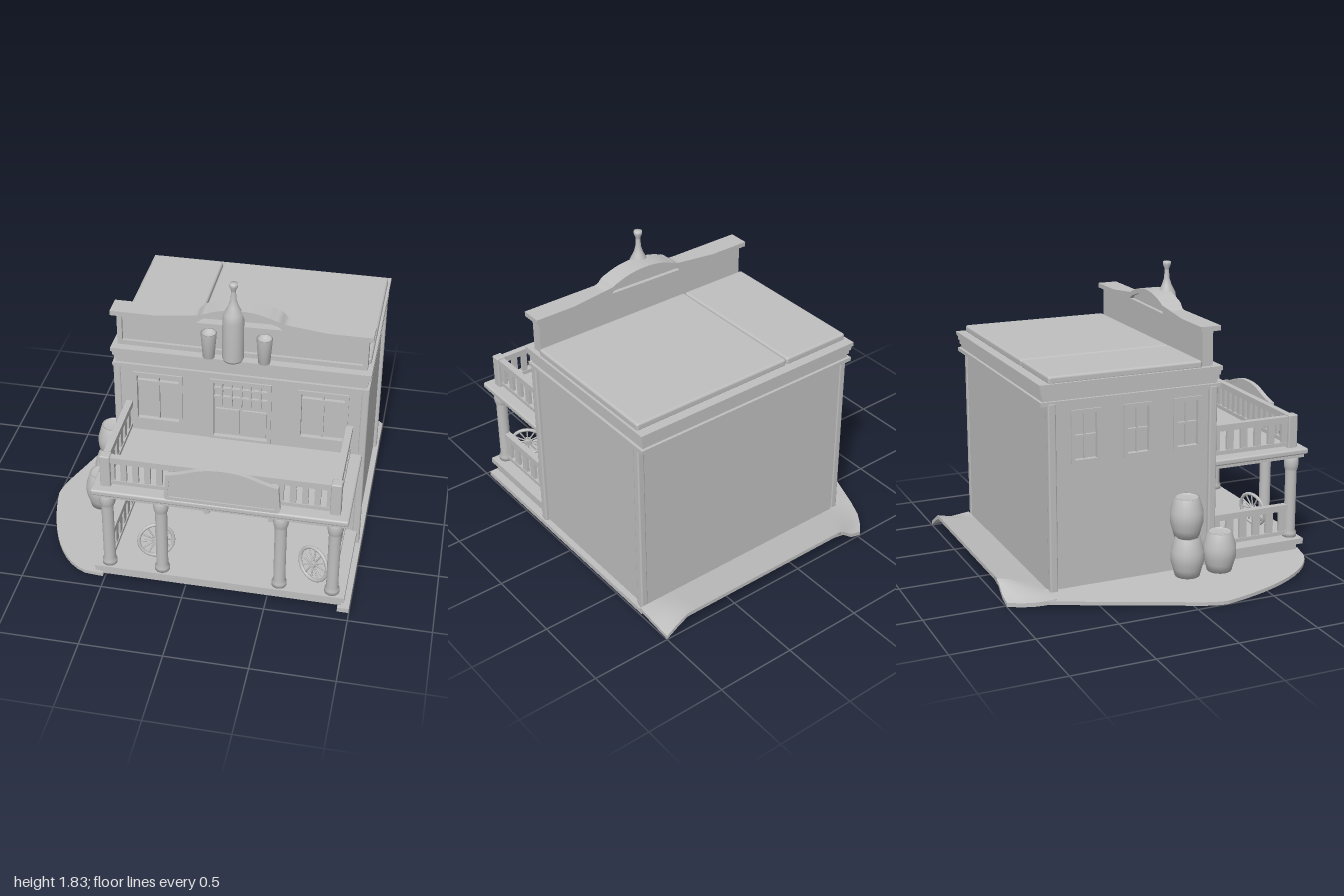
import * as THREE from 'three';
import { RoundedBoxGeometry } from 'three/addons/geometries/RoundedBoxGeometry.js';

export function createModel() {
  const root = new THREE.Group();
  root.name = 'saloon';
  const grey = new THREE.MeshStandardMaterial({ color: 0xbfbfbf });
  grey.name = 'plainGrey';

  const add = (name, geo, x = 0, y = 0, z = 0, parent = root) => {
    const m = new THREE.Mesh(geo, grey);
    m.name = name;
    m.position.set(x, y, z);
    parent.add(m);
    return m;
  };
  // box given by its limits on each axis
  const box = (name, x0, x1, y0, y1, z0, z1, parent = root) =>
    add(name, new THREE.BoxGeometry(x1 - x0, y1 - y0, z1 - z0), (x0 + x1) / 2, (y0 + y1) / 2, (z0 + z1) / 2, parent);
  const group = (name, x = 0, y = 0, z = 0) => {
    const g = new THREE.Group();
    g.name = name;
    g.position.set(x, y, z);
    root.add(g);
    return g;
  };
  const rectPath = (x0, x1, y0, y1, Type = THREE.Path) => {
    const p = new Type();
    p.moveTo(x0, y0).lineTo(x1, y0).lineTo(x1, y1).lineTo(x0, y1).closePath();
    return p;
  };
  const extrude = (shape, depth, bevel = 0) => new THREE.ExtrudeGeometry(shape, {
    depth, curveSegments: 12, bevelEnabled: bevel > 0, bevelSize: bevel, bevelThickness: bevel, bevelSegments: 2 });
  const lathe = (pts, n = 20) => new THREE.LatheGeometry(pts.map(p => new THREE.Vector2(...p)), n);

  // ground: curved yard on the left, sloping down to its rim
  const yard = new THREE.Shape();
  yard.moveTo(-0.5, -0.95);
  yard.lineTo(-0.62, -0.93);
  yard.bezierCurveTo(-0.85, -0.83, -0.96, -0.45, -1, -0.2);
  yard.bezierCurveTo(-1, -0.1, -0.94, 0.02, -0.9, 0.13);
  yard.lineTo(-0.65, 0.79);
  yard.lineTo(-0.5, 0.79);
  const yardGeo = extrude(yard, 0.022).rotateX(-Math.PI / 2);
  const yp = yardGeo.attributes.position;
  for (let i = 0; i < yp.count; i++) yp.setY(i, yp.getY(i) + 0.04 + 0.08 * (yp.getX(i) + 0.5));
  yardGeo.computeVertexNormals();
  add('yard', yardGeo);

  // ground: strip behind the house, lifted along the middle of its rim
  const stripGeo = new THREE.BoxGeometry(1.65, 0.025, 0.26, 22, 1, 4).translate(0.175, 0.045, -0.87);
  const sp = stripGeo.attributes.position;
  for (let i = 0; i < sp.count; i++) {
    const x = sp.getX(i), z = sp.getZ(i), t = (-0.74 - z) / 0.26;
    const side = Math.min(1, Math.max(0, Math.min(x + 0.6, 0.99 - x) / 0.12));
    sp.setY(i, sp.getY(i) + t * (-0.03 + 0.09 * side));
    if (x < -0.4) sp.setX(i, x + 0.13 * t * t);
  }
  stripGeo.computeVertexNormals();
  add('rearGround', stripGeo);
  box('rightGround', 0.93, 1, 0.015, 0.045, -0.75, 0.95);

  // house walls, with openings in the front and left
  const front = rectPath(-0.52, 0.965, 0.05, 1.2, THREE.Shape);
  const frontWindows = [[-0.42, -0.14, 0.8, 1.13], [0.58, 0.86, 0.8, 1.13], [0.05, 0.4, 0.73, 1.14],
    [-0.38, -0.17, 0.31, 0.62], [0.64, 0.85, 0.31, 0.62]];
  frontWindows.forEach(w => front.holes.push(rectPath(...w)));
  front.holes.push(rectPath(0.03, 0.42, 0.13, 0.62));
  add('frontWall', extrude(front, 0.04), 0, 0, 0.29);

  const left = rectPath(-0.73, 0.32, 0.05, 1.2, THREE.Shape);
  const sideWindows = [-0.5, -0.17, 0.15].map(z => [z - 0.08, z + 0.08, 0.83, 1.13]);
  sideWindows.forEach(w => left.holes.push(rectPath(...w)));
  add('leftWall', extrude(left, 0.035).rotateY(-Math.PI / 2), -0.49);
  box('rightWall', 0.93, 0.965, 0.05, 1.2, -0.73, 0.32);
  box('backWall', -0.52, 0.965, 0.05, 1.2, -0.735, -0.7);
  for (const x of [-0.53, 0.965]) for (const z of [0.312, -0.715])
    add('cornerPost', new RoundedBoxGeometry(0.045, 1.16, 0.05, 2, 0.01), x, 0.62, z);

  // framed window facing +z in its own group
  const addWindow = (name, [x0, x1, y0, y1], cols, rows, rowTop = 1) => {
    const g = group(name);
    const f = rectPath(x0 - 0.012, x1 + 0.012, y0 - 0.012, y1 + 0.012, THREE.Shape);
    f.holes.push(rectPath(x0 + 0.012, x1 - 0.012, y0 + 0.012, y1 - 0.012));
    add('frame', extrude(f, 0.03), 0, 0, -0.02, g);
    box('pane', x0, x1, y0, y1, -0.034, -0.028, g);
    const yb = y1 - (y1 - y0) * rowTop;
    for (let i = 1; i < cols; i++) {
      const x = x0 + (x1 - x0) * i / cols;
      box('mullion', x - 0.006, x + 0.006, yb, y1, -0.03, -0.01, g);
    }
    for (let j = 1; j < rows; j++) {
      const y = yb + (y1 - yb) * j / rows;
      box('crossBar', x0, x1, y - 0.006, y + 0.006, -0.03, -0.01, g);
    }
    return g;
  };
  frontWindows.forEach((w, i) => {
    const [cols, rows, part] = [[2, 1, 1], [2, 1, 1], [6, 3, 0.45], [5, 4, 1], [5, 4, 1]][i];
    const g = addWindow(i === 2 ? 'balconyDoor' : 'frontWindow', w, cols, rows, part);
    g.position.z = 0.33;
    if (i < 2) box('transom', w[0], w[1], 1.06, 1.08, -0.03, -0.005, g);
    if (i === 2) for (const x of [0.07, 0.235]) box('doorPanel', x, x + 0.145, 0.75, 0.93, -0.03, -0.015, g);
  });
  sideWindows.forEach(w => {
    const g = addWindow('sideWindow', w, 2, 2);
    g.rotation.y = -Math.PI / 2;
    g.position.x = -0.525;
  });

  // entrance: casing, header and a pair of swing doors
  const casing = rectPath(0, 0.45, 0.13, 0.65, THREE.Shape);
  casing.holes.push(rectPath(0.035, 0.415, 0.131, 0.615));
  add('doorCasing', extrude(casing, 0.03), 0, 0, 0.325);
  box('doorHeader', -0.015, 0.465, 0.625, 0.665, 0.33, 0.375);
  box('doorBack', 0.03, 0.42, 0.13, 0.62, 0.295, 0.303);
  for (const s of [-1, 1]) {
    const leaf = new THREE.Shape();
    leaf.moveTo(0.006, 0.23).lineTo(0.006, 0.45);
    leaf.bezierCurveTo(0.07, 0.45, 0.1, 0.5, 0.18, 0.5);
    leaf.lineTo(0.18, 0.21).bezierCurveTo(0.12, 0.2, 0.08, 0.23, 0.006, 0.23);
    const g = group('swingDoor', 0.225, 0, 0.335);
    g.rotation.y = s < 0 ? Math.PI : 0;
    add('leaf', extrude(leaf, 0.024), 0, 0, -0.012, g);
    for (const z of [-0.016, 0.016]) {
      const p = rectPath(0.035, 0.15, 0.255, 0.43, THREE.Shape);
      p.holes.push(rectPath(0.05, 0.135, 0.27, 0.415));
      add('panelMoulding', extrude(p, 0.012), 0, 0, z - 0.006, g);
    }
  }

  // cornice and roof
  const cornice = [[0.005, 1.185, 1.21], [-0.012, 1.21, 1.235], [-0.004, 1.235, 1.262], [0.004, 1.262, 1.29], [0.012, 1.29, 1.315]];
  for (const [o, y0, y1] of cornice) box('cornice', -0.545 - o, 0.983 + o, y0, y1, -0.777 - o, 0.355 + o);
  for (const [x0, x1] of [[-0.54, -0.088], [-0.082, 0.98]])
    add('roofPanel', new RoundedBoxGeometry(x1 - x0, 0.05, 0.97, 2, 0.015), (x0 + x1) / 2, 1.33, -0.245);

  // parapet: wall, arched cap and panel moulding
  const arch = (s, y, h) => { // arched line running from left to right
    s.lineTo(-0.07, y);
    s.bezierCurveTo(-0.02, y, -0.03, y + h * 0.45, 0.02, y + h * 0.55);
    s.bezierCurveTo(0.14, y + h * 1.15, 0.3, y + h * 1.15, 0.42, y + h * 0.55);
    s.bezierCurveTo(0.47, y + h * 0.45, 0.46, y, 0.51, y);
  };
  const parapet = new THREE.Shape();
  parapet.moveTo(-0.525, 1.31);
  parapet.lineTo(-0.525, 1.535);
  arch(parapet, 1.535, 0.09);
  parapet.lineTo(0.965, 1.535).lineTo(0.965, 1.31);
  add('parapet', extrude(parapet, 0.05), 0, 0, 0.245);
  const cap = new THREE.Shape();
  cap.moveTo(-0.555, 1.53);
  arch(cap, 1.53, 0.085);
  cap.lineTo(0.992, 1.53).lineTo(0.992, 1.56);
  const capTop = new THREE.Path();
  capTop.moveTo(-0.555, 1.56);
  arch(capTop, 1.56, 0.088);
  cap.setFromPoints([...cap.getPoints(12), ...capTop.getPoints(12).reverse()]);
  add('parapetCap', extrude(cap, 0.13), 0, 0, 0.22);
  const trim = rectPath(-0.525, 0.965, 1.315, 1.535, THREE.Shape);
  trim.holes.push(rectPath(-0.495, 0.935, 1.345, 1.505));
  add('parapetTrim', extrude(trim, 0.02), 0, 0, 0.294);

  // bottle and two glasses above the cornice
  add('bottle', lathe([[0, 1.315], [0.058, 1.315], [0.064, 1.33], [0.064, 1.58], [0.055, 1.63], [0.03, 1.68], [0.018, 1.72],
    [0.014, 1.77], [0.014, 1.78], [0.025, 1.805], [0.025, 1.825], [0, 1.828]]), 0.18, 0, 0.345);
  for (const x of [0.035, 0.365])
    add('glass', lathe([[0, 1.315], [0.035, 1.315], [0.048, 1.48], [0.042, 1.48], [0.038, 1.46], [0, 1.455]]), x, 0, 0.345);

  // porch floor and balcony
  box('porchBase', -0.52, 0.95, 0.05, 0.1, 0.32, 0.93);
  box('porchFloor', -0.54, 0.97, 0.1, 0.135, 0.32, 0.965);
  box('balconyBeam', -0.52, 0.95, 0.665, 0.69, 0.32, 0.965);
  add('balconyFloor', new RoundedBoxGeometry(1.51, 0.038, 0.66, 2, 0.012), 0.215, 0.706, 0.655);
  const postProfile = [[0, 0.13], [0.045, 0.13], [0.045, 0.16], [0.036, 0.18], [0.036, 0.57], [0.042, 0.585],
    [0.046, 0.61], [0.046, 0.64], [0.037, 0.67], [0, 0.67]];
  for (const x of [-0.46, -0.135, 0.575, 0.89]) add('porchPost', lathe(postProfile, 16), x, 0, 0.91);

  // railing between two points, built along its own x axis
  const railing = (name, x0, z0, x1, z1, y0, y1, n, w) => {
    const len = Math.hypot(x1 - x0, z1 - z0), g = group(name, x0, 0, z0);
    g.rotation.y = -Math.atan2(z1 - z0, x1 - x0);
    box('topRail', 0, len, y1 - 0.04, y1, -0.02, 0.02, g);
    box('bottomRail', 0, len, y0, y0 + 0.025, -0.015, 0.015, g);
    for (let i = 0; i < n; i++) {
      const c = len * (i + 0.5) / n;
      box('baluster', c - w / 2, c + w / 2, y0, y1 - 0.03, -0.01, 0.01, g);
    }
  };
  for (const x of [-0.46, 0.885]) {
    railing('porchSideRail', x, 0.34, x, 0.9, 0.15, 0.35, 6, 0.05);
    railing('balconySideRail', x, 0.33, x, 0.9, 0.735, 0.925, 6, 0.045);
    add('balconyPost', new RoundedBoxGeometry(0.062, 0.22, 0.062, 2, 0.008), x, 0.825, 0.9);
  }
  railing('balconyFrontRail', -0.46, 0.9, 0.885, 0.9, 0.735, 0.925, 19, 0.036);

  // blank arched sign with raised rim
  const signShape = (Type, o) => {
    const s = new Type(), c = 0.24, w = 0.345 - o, b = 0.73 + o;
    s.moveTo(c - w + 0.03, b).lineTo(c + w - 0.03, b);
    s.quadraticCurveTo(c + w, b, c + w - 0.01, b + 0.05);
    s.lineTo(c + w - 0.02, 0.905 - o);
    s.bezierCurveTo(c + 0.2, 0.92 - o, c + 0.16, 0.978 - o, c, 0.978 - o);
    s.bezierCurveTo(c - 0.16, 0.978 - o, c - 0.2, 0.92 - o, c - w + 0.02, 0.905 - o);
    s.lineTo(c - w + 0.01, b + 0.05).quadraticCurveTo(c - w, b, c - w + 0.03, b);
    return s;
  };
  add('signBoard', extrude(signShape(THREE.Shape, 0.008), 0.02), 0, 0, 0.962);
  const rim = signShape(THREE.Shape, 0);
  rim.holes.push(signShape(THREE.Path, 0.022));
  add('signRim', extrude(rim, 0.03), 0, 0, 0.96);

  // spoked wheels leaning on the porch
  for (const [x, y, z, ry] of [[-0.2, 0.245, 0.79, 0.3], [0.765, 0.255, 0.83, -0.6]]) {
    const g = group('wagonWheel', x, y, z);
    g.rotation.set(-0.15, ry, 0, 'YXZ');
    add('tyre', new THREE.TorusGeometry(0.105, 0.011, 8, 28), 0, 0, 0, g);
    add('hub', new THREE.CylinderGeometry(0.022, 0.022, 0.04, 12).rotateX(Math.PI / 2), 0, 0, 0, g);
    for (let i = 0; i < 12; i++) {
      const s = add('spoke', new THREE.CylinderGeometry(0.005, 0.005, 0.1, 6).translate(0, 0.055, 0), 0, 0, 0, g);
      s.rotation.z = i * Math.PI / 6;
    }
  }

  // barrels beside the left wall
  const barrel = [[0, 0], [0.075, 0], [0.088, 0.05], [0.1, 0.09], [0.102, 0.125], [0.1, 0.16], [0.088, 0.2],
    [0.075, 0.245], [0.068, 0.245], [0.066, 0.235], [0, 0.235]];
  for (const [x, y, z] of [[-0.67, 0.08, 0.305], [-0.67, 0.08, 0.09], [-0.635, 0.315, 0.1]])
    add('barrel', lathe(barrel), x, y, z);

  return root;
}
